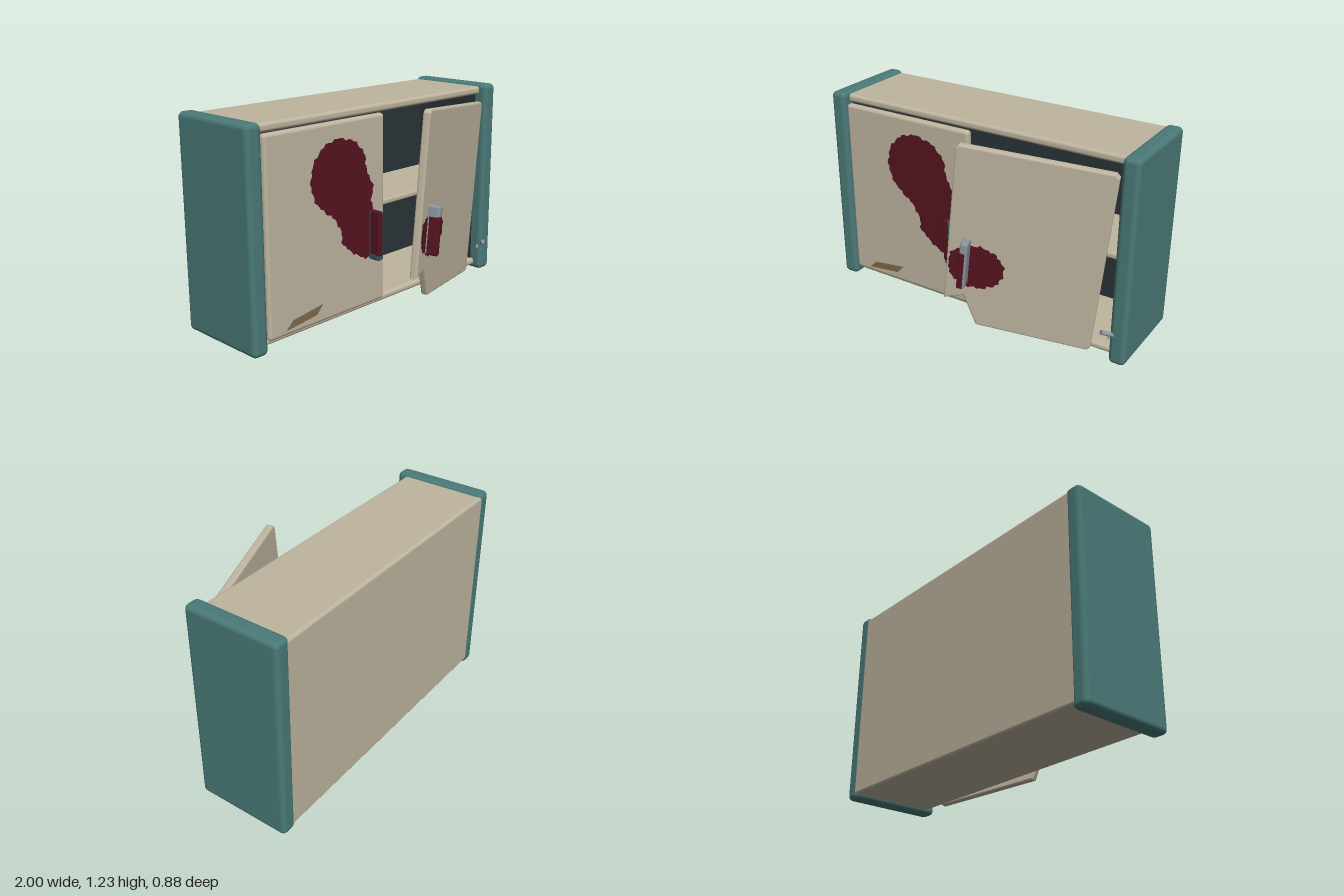
import * as THREE from 'three';
import { RoundedBoxGeometry } from 'three/addons/geometries/RoundedBoxGeometry.js';

const mat = (color, side = THREE.FrontSide) => new THREE.MeshStandardMaterial({ color, side });
const TEAL = mat(0x4a7a78), CREAM = mat(0xbfb5a0), DARK = mat(0x2a3438);
const METAL = mat(0x8a969e), DARK_METAL = mat(0x3a5364);
const STAIN = mat(0x55141f, THREE.DoubleSide), BARE_WOOD = mat(0x80694a, THREE.DoubleSide);

function add(parent, name, geometry, material, x = 0, y = 0, z = 0) {
  const mesh = new THREE.Mesh(geometry, material);
  mesh.name = name;
  mesh.position.set(x, y, z);
  parent.add(mesh);
  return mesh;
}

// Rounded box given by its limits on each axis
function board(parent, name, material, [x0, x1], [y0, y1], [z0, z1], r) {
  const geo = new RoundedBoxGeometry(x1 - x0, y1 - y0, z1 - z0, 3, r);
  return add(parent, name, geo, material, (x0 + x1) / 2, (y0 + y1) / 2, (z0 + z1) / 2);
}

function rod(parent, name, a, b, r) {
  const from = new THREE.Vector3(...a), dir = new THREE.Vector3(...b).sub(from);
  const mesh = add(parent, name, new THREE.CylinderGeometry(r, r, dir.length(), 12), METAL);
  mesh.position.copy(from).addScaledVector(dir, 0.5);
  mesh.quaternion.setFromUnitVectors(new THREE.Vector3(0, 1, 0), dir.normalize());
}

const toShape = (pts) => new THREE.Shape(pts.map(([x, y]) => new THREE.Vector2(x, y)));

// Flat splash: a closed curve with a ragged rim
function splash(points, samples, rough, minX = -Infinity) {
  const curve = new THREE.CatmullRomCurve3(points.map(([x, y]) => new THREE.Vector3(x, y, 0)), true);
  const rim = curve.getSpacedPoints(samples).slice(0, -1).map((p, i) => {
    const n = rough * (Math.sin(i * 2.3) + 0.6 * Math.sin(i * 5.1 + 1));
    const t = curve.getTangentAt(i / samples);
    return [Math.max(minX, p.x - t.y * n), p.y + t.x * n];
  });
  return new THREE.ShapeGeometry(toShape(rim));
}

// Bar handle with a stained front, centred on x and y and standing on z
function handle(parent, name, material, x, y, z, stainSide, stainY) {
  const g = new THREE.Group();
  g.name = name;
  g.position.set(x, y, z);
  board(g, 'handleBar', material, [-0.023, 0.023], [-0.145, 0.145], [-0.01, 0.073], 0.014);
  const w = [-0.024, 0.012].map((v) => v * stainSide).sort((a, b) => a - b);
  board(g, 'handleStain', STAIN, w, stainY, [0.005, 0.077], 0.01);
  parent.add(g);
}

export function createModel() {
  const model = new THREE.Group();
  model.name = 'wallCabinet';

  // Carcass
  for (const s of [-1, 1]) {
    const side = s > 0 ? 'left' : 'right';
    board(model, side + 'SidePanel', TEAL, s > 0 ? [0.9, 1] : [-1, -0.9], [0.005, 1.237], [-0.44, 0.143], 0.03);
    add(model, side + 'Lining', new THREE.BoxGeometry(0.01, 1.11, 0.47), DARK, s * 0.899, 0.625, -0.17);
  }
  board(model, 'topBoard', CREAM, [-0.94, 0.94], [1.172, 1.22], [-0.438, 0.09], 0.018);
  board(model, 'bottomBoard', CREAM, [-0.94, 0.94], [0.03, 0.072], [-0.438, 0.09], 0.018);
  board(model, 'backPanel', CREAM, [-0.94, 0.94], [0.03, 1.22], [-0.438, -0.396], 0.018);
  add(model, 'backLining', new THREE.BoxGeometry(1.8, 1.11, 0.01), DARK, 0, 0.625, -0.392);
  board(model, 'shelf', CREAM, [-0.905, 0.905], [0.61, 0.642], [-0.4, 0.06], 0.01);

  // Closed door with long stain and a scrape
  const closed = new THREE.Group();
  closed.name = 'closedDoor';
  model.add(closed);
  board(closed, 'doorPanel', CREAM, [-0.89, -0.022], [0.07, 1.175], [0.088, 0.136], 0.02);
  const longStain = [[-0.37, 1.08], [-0.25, 1.04], [-0.18, 0.95], [-0.17, 0.87], [-0.12, 0.78], [-0.13, 0.68],
    [-0.09, 0.55], [-0.1, 0.42], [-0.17, 0.36], [-0.27, 0.41], [-0.36, 0.49], [-0.37, 0.56], [-0.42, 0.64],
    [-0.53, 0.73], [-0.58, 0.82], [-0.58, 0.93], [-0.53, 1.02], [-0.45, 1.07]];
  add(closed, 'longStain', splash(longStain, 90, 0.006), STAIN, 0, 0, 0.139);
  const scrape = toShape([[-0.78, 0.1], [-0.56, 0.125], [-0.51, 0.178], [-0.73, 0.148]]);
  add(closed, 'scrape', new THREE.ShapeGeometry(scrape), BARE_WOOD, 0, 0, 0.139);
  handle(closed, 'closedDoorHandle', DARK_METAL, -0.125, 0.49, 0.136, 1, [-0.115, 0.147]);

  // Loose door, swung open and sagging, with a broken lower corner
  const loose = new THREE.Group();
  loose.name = 'looseDoor';
  loose.position.set(0.42, 0.62, 0.237);
  loose.rotation.set(0, 0.31, -0.1, 'ZYX');
  model.add(loose);
  const W = 0.434, H = 0.553, c = 0.02;
  const outline = toShape([[-W + 0.2, -H], [W - c, -H], [W, -H + c], [W, H - c], [W - c, H],
    [-W + c, H], [-W, H - c], [-W, -H + 0.14], [-W + 0.113, -H + 0.18]]);
  const bevel = 0.012;
  const panel = new THREE.ExtrudeGeometry(outline, {
    depth: 0.046 - 2 * bevel, bevelEnabled: true, bevelThickness: bevel, bevelSize: bevel,
    bevelOffset: -bevel, bevelSegments: 3,
  });
  add(loose, 'doorPanel', panel, CREAM, 0, 0, -0.023 + bevel);
  const round = Array.from({ length: 12 }, (_, i) => {
    const a = (i / 12) * Math.PI * 2;
    return [-0.265 + 0.165 * Math.cos(a), -0.165 + 0.135 * Math.sin(a)];
  });
  add(loose, 'roundStain', splash(round, 56, 0.007, -0.42), STAIN, 0, 0, 0.026);
  handle(loose, 'looseDoorHandle', METAL, -0.325, -0.135, 0.023, 1, [-0.146, 0.085]);

  // Bent pins of the broken hinge
  rod(model, 'hingePin', [0.87, 0.22, 0.185], [0.935, 0.185, 0.12], 0.013);
  rod(model, 'hingeStub', [0.885, 0.155, 0.125], [0.91, 0.175, 0.11], 0.008);

  return model;
}
